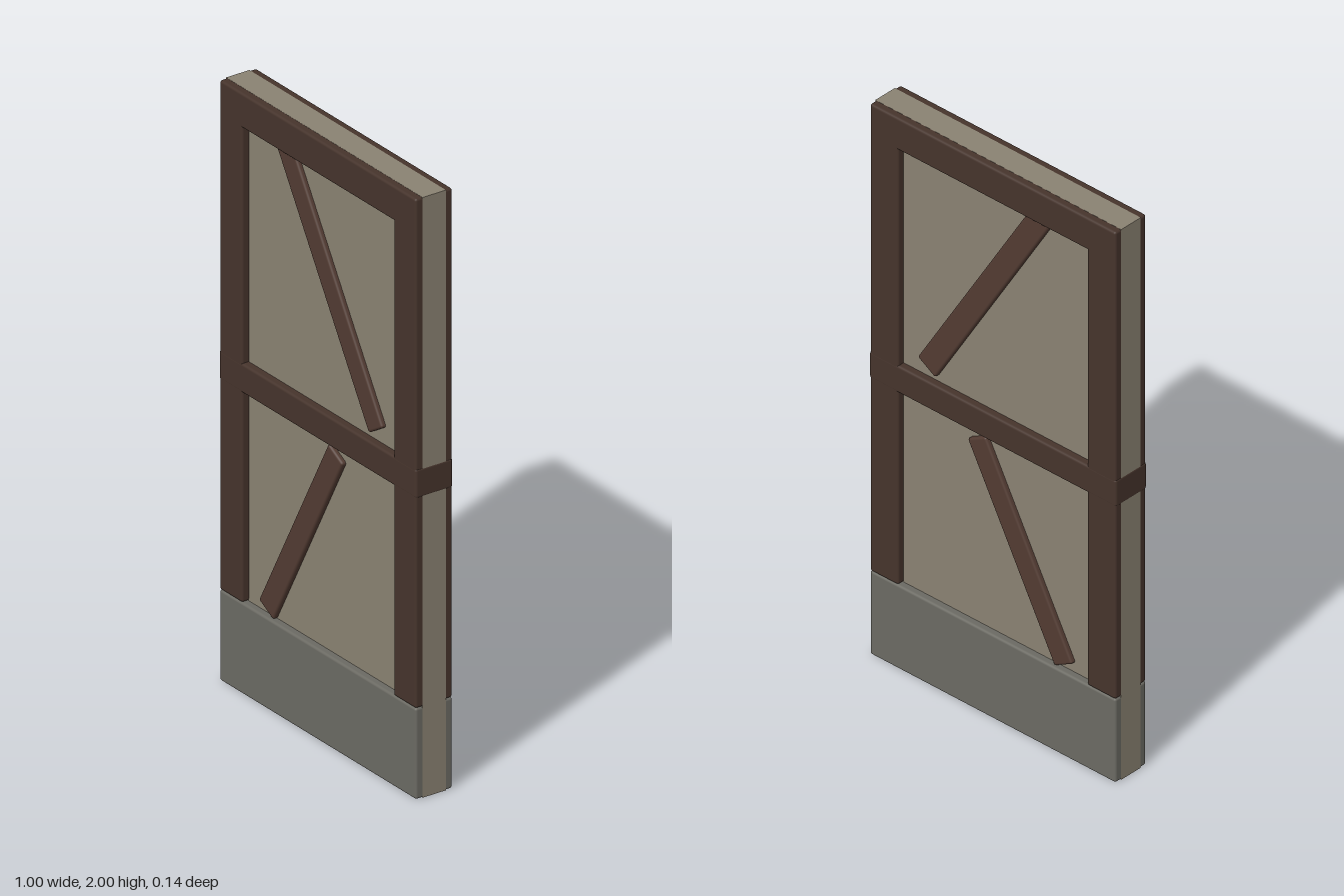
import * as THREE from 'three';
import { RoundedBoxGeometry } from 'three/addons/geometries/RoundedBoxGeometry.js';

const DEPTH = 0.136;

export function createModel() {
  const model = new THREE.Group();
  model.name = 'timberFramedWall';

  const plaster = new THREE.MeshStandardMaterial({ color: 0x8a8272 });
  const timber = new THREE.MeshStandardMaterial({ color: 0x46342c });
  const braceWood = new THREE.MeshStandardMaterial({ color: 0x523b32 });
  const stone = new THREE.MeshStandardMaterial({ color: 0x6b6a63 });

  function add(name, geometry, material, x, y) {
    const mesh = new THREE.Mesh(geometry, material);
    mesh.name = name;
    mesh.position.set(x, y, 0);
    model.add(mesh);
    return mesh;
  }

  // Softly bevelled beam given by its extents in x and y
  function beam(name, x0, x1, y0, y1, material, depth = DEPTH) {
    const geometry = new RoundedBoxGeometry(x1 - x0, y1 - y0, depth, 2, 0.008);
    return add(name, geometry, material, (x0 + x1) / 2, (y0 + y1) / 2);
  }

  // Slanted beam running between two points, showing on both faces
  function brace(name, ax, ay, bx, by) {
    const length = Math.hypot(bx - ax, by - ay);
    const geometry = new RoundedBoxGeometry(0.083, length, 0.118, 2, 0.008);
    const mesh = add(name, geometry, braceWood, (ax + bx) / 2, (ay + by) / 2);
    mesh.rotation.z = Math.atan2(by - ay, bx - ax) - Math.PI / 2;
  }

  // Infill, a hair proud of the beams at its edges so it shows at the sides and top
  add('plasterPanel', new THREE.BoxGeometry(1.001, 2, 0.086), plaster, 0, 1.0005);

  // Stone footing
  beam('stoneBase', -0.5, 0.5, 0, 0.303, stone);

  // Timber frame
  beam('rightPost', -0.5, -0.385, 0.303, 2, timber);
  beam('leftPost', 0.385, 0.5, 0.303, 2, timber);
  beam('topRail', -0.5, 0.5, 1.885, 2, timber);
  beam('middleRail', -0.502, 0.502, 1.003, 1.1, timber, DEPTH + 0.001);

  // Diagonal braces
  brace('upperBrace', 0.28, 1.14, -0.205, 1.935);
  brace('lowerBrace', -0.278, 0.32, 0.076, 0.98);

  return model;
}
